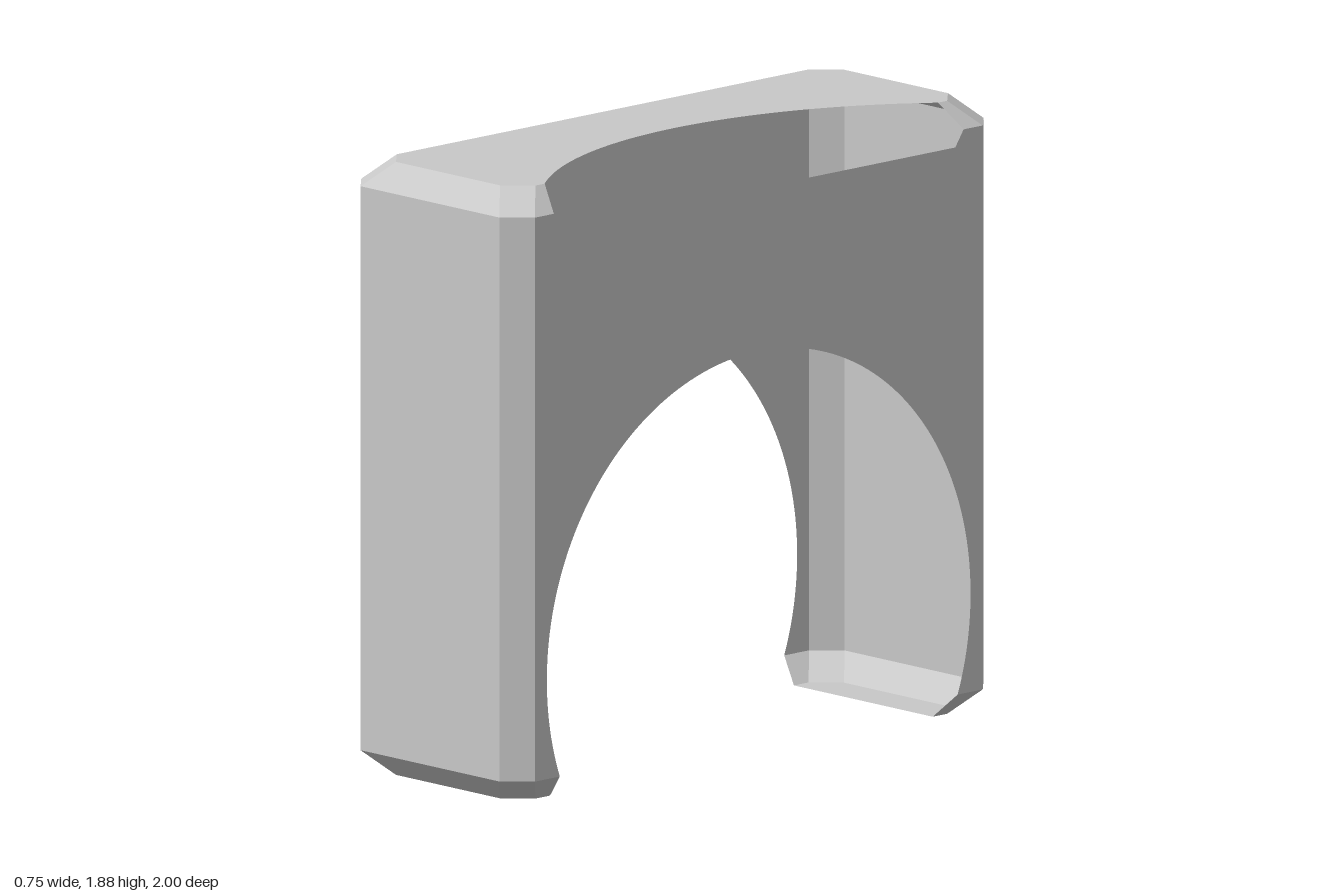
import * as THREE from 'three';

// Overall shell: half width, half depth, height, bevel size
const W = 0.375, D = 1, H = 1.875, B = 0.075;
// Arch cut through both broad sides
const ARCH_Y = 0.376, ARCH_R = 0.875;
const archZ = (y) => Math.sqrt(ARCH_R ** 2 - (y - ARCH_Y) ** 2);
// Conical scoop in the top, narrowing downward to a flat bottom
const SCOOP_X = 1.293, SCOOP_BOTTOM = 1.75;
const scoopR = (y) => 1.283 - 0.46 * (H - y);
const scoopZ = (x, y) => Math.sqrt(scoopR(y) ** 2 - (SCOOP_X - x) ** 2);

export function createModel() {
  const group = new THREE.Group();
  const grey = new THREE.MeshStandardMaterial({ color: 0xc8c8c8, side: THREE.DoubleSide });
  grey.name = 'plain grey';

  const add = (name, geometry) => {
    const mesh = new THREE.Mesh(geometry, grey);
    mesh.name = name;
    group.add(mesh);
  };

  // Flat four-cornered panel, turned to face away from the middle
  const quad = (name, ...corners) => {
    const p = corners.map((c) => new THREE.Vector3(...c));
    const normal = p[1].clone().sub(p[0]).cross(p[2].clone().sub(p[0]));
    const out = p[0].clone().add(p[2]).multiplyScalar(0.5).sub(new THREE.Vector3(0, H / 2, 0));
    if (normal.dot(out) < 0) p.reverse();
    const g = new THREE.BufferGeometry().setFromPoints(p);
    g.setIndex([0, 1, 2, 0, 2, 3]);
    g.computeVertexNormals();
    add(name, g);
  };

  // Broad sides with the arch; the +x one also has the scoop's notch
  const low = B, high = H - B, zEdge = D - B;
  for (const s of [1, -1]) {
    const h = archZ(low), a = Math.atan2(low - ARCH_Y, h);
    const wall = new THREE.Shape();
    wall.moveTo(-zEdge, low);
    wall.lineTo(-h, low);
    wall.absarc(0, ARCH_Y, ARCH_R, Math.PI - a, a, true);
    wall.lineTo(zEdge, low);
    wall.lineTo(zEdge, high);
    if (s > 0) {
      const zTop = scoopZ(W, high), zBottom = scoopZ(W, SCOOP_BOTTOM);
      wall.lineTo(zTop, high);
      wall.lineTo(zBottom, SCOOP_BOTTOM);
      wall.lineTo(-zBottom, SCOOP_BOTTOM);
      wall.lineTo(-zTop, high);
    }
    wall.lineTo(-zEdge, high);
    const panel = new THREE.ShapeGeometry(wall, 64).rotateY(s * Math.PI / 2).translate(s * W, 0, 0);
    add(s > 0 ? 'leftWall' : 'rightWall', panel);
  }

  // Top face with the round scoop
  const xi = W - B, xc = W - 2 * B, zc = D - 2 * B, z0 = scoopZ(xi, H);
  const sweep = Math.asin(z0 / scoopR(H));
  const top = new THREE.Shape();
  top.moveTo(xi, z0);
  [[xi, zc], [xc, zEdge], [-xc, zEdge], [-xi, zc], [-xi, -zc], [-xc, -zEdge], [xc, -zEdge], [xi, -zc], [xi, -z0]]
    .forEach(([x, z]) => top.lineTo(x, z));
  top.absarc(SCOOP_X, 0, scoopR(H), Math.PI + sweep, Math.PI - sweep, true);
  add('topPanel', new THREE.ShapeGeometry(top, 64).rotateX(-Math.PI / 2).translate(0, H, 0));

  for (const k of [1, -1]) {
    // Narrow end walls and their bevels
    quad('endWall', [-xi, low, k * D], [xi, low, k * D], [xi, high, k * D], [-xi, high, k * D]);
    for (const [name, y, yIn] of [['topEndBevel', high, H], ['bottomEndBevel', low, 0]]) {
      quad(name, [-xi, y, k * D], [xi, y, k * D], [xc, yIn, k * zEdge], [-xc, yIn, k * zEdge]);
    }

    // Foot plates left beside the arch
    const f = archZ(0);
    const foot = new THREE.Shape([[-xi, f], [xi, f], [xi, zc], [xc, zEdge], [-xc, zEdge], [-xi, zc]]
      .map(([x, z]) => new THREE.Vector2(x, k * z)));
    add('footPlate', new THREE.ShapeGeometry(foot).rotateX(Math.PI / 2));

    for (const s of [1, -1]) {
      // Upright corner bevels and the small facets above and below them
      quad('cornerBevel', [s * W, low, k * zEdge], [s * xi, low, k * D], [s * xi, high, k * D], [s * W, high, k * zEdge]);
      for (const [name, y, yIn] of [['topCorner', high, H], ['bottomCorner', low, 0]]) {
        quad(name, [s * W, y, k * zEdge], [s * xi, y, k * D], [s * xc, yIn, k * zEdge], [s * xi, yIn, k * zc]);
      }
      // Side bevels, stopping at the arch below and at the scoop above
      quad('bottomSideBevel', [s * W, low, k * zEdge], [s * W, low, k * archZ(low)], [s * xi, 0, k * f], [s * xi, 0, k * zc]);
      const cutOuter = s > 0 ? scoopZ(W, high) : 0, cutInner = s > 0 ? z0 : 0;
      quad('topSideBevel', [s * W, high, k * zEdge], [s * W, high, k * cutOuter], [s * xi, H, k * cutInner], [s * xi, H, k * zc]);
    }
  }
  return group;
}
